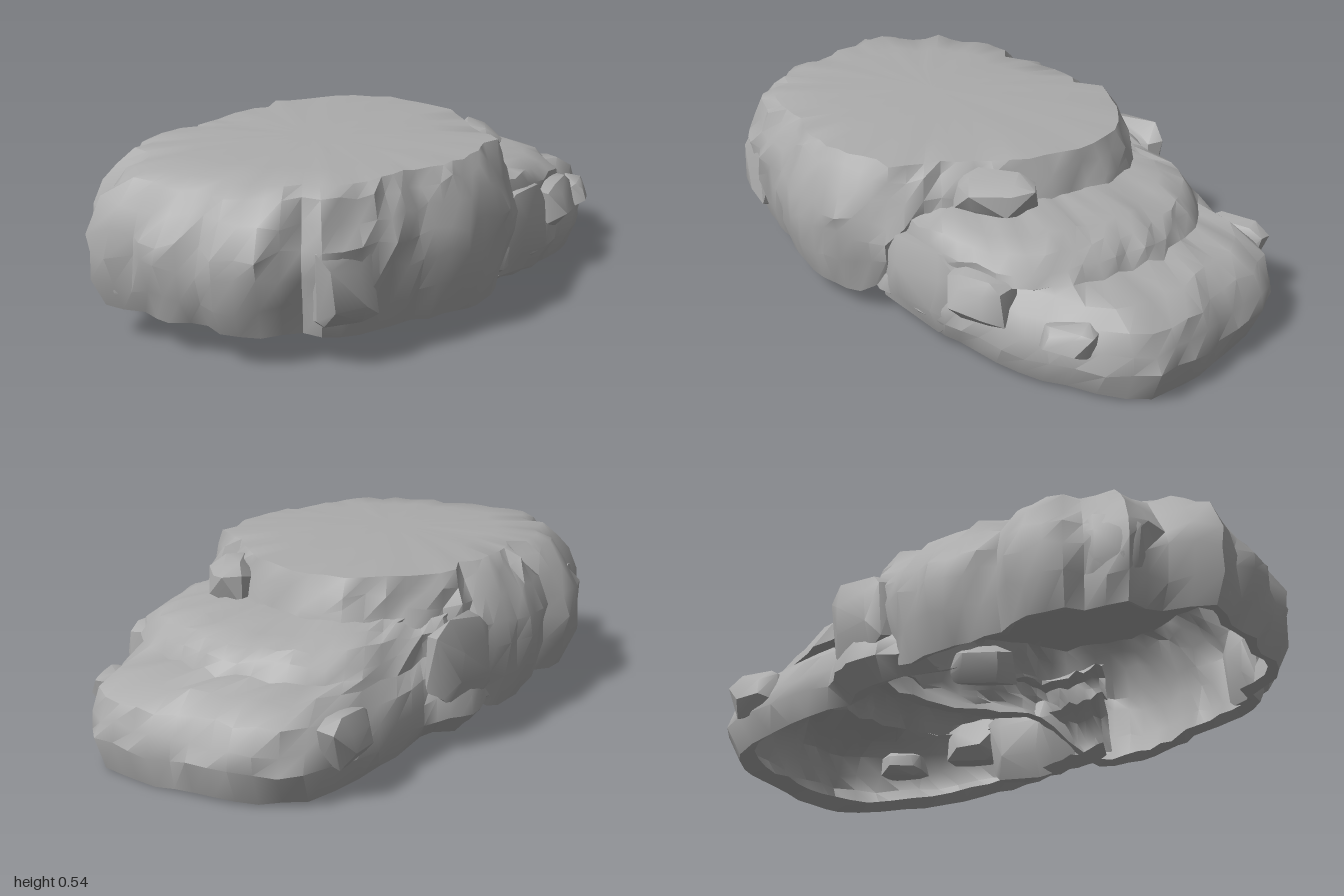
import * as THREE from 'three';
import { toCreasedNormals } from 'three/addons/utils/BufferGeometryUtils.js';
import { ConvexGeometry } from 'three/addons/geometries/ConvexGeometry.js';

const { lerp, smoothstep } = THREE.MathUtils;
const CX = -0.3; // plan centre the outlines are measured from

// Seeded random in -1..1
function seeded(seed) {
  let s = seed;
  return () => {
    s = (s * 16807) % 2147483647;
    return (s / 2147483647) * 2 - 1;
  };
}

// Turns plan points (x, z) into radius as a function of angle
function outline(points) {
  const polar = points
    .map(([x, z]) => ({ a: Math.atan2(z, x - CX), r: Math.hypot(x - CX, z) }))
    .sort((p, q) => p.a - q.a);
  const first = polar[0], last = polar[polar.length - 1];
  const all = [{ a: last.a - 2 * Math.PI, r: last.r }, ...polar, { a: first.a + 2 * Math.PI, r: first.r }];
  return (angle) => {
    const k = all.findIndex((p, i) => i > 0 && p.a >= angle);
    const p = all[k - 1], q = all[k];
    return lerp(p.r, q.r, (angle - p.a) / (q.a - p.a || 1));
  };
}

// Widest plan outline of each tier; the two steps only need their open arc
const upper = outline([
  [0, 0.57], [-0.12, 0.6], [-0.28, 0.61], [-0.45, 0.55], [-0.62, 0.52], [-0.78, 0.45], [-0.79, 0.36],
  [-0.9, 0.33], [-0.97, 0.19], [-0.95, 0.1], [-1.0, 0.0], [-0.98, -0.13], [-1.01, -0.27], [-0.84, -0.36],
  [-0.83, -0.47], [-0.7, -0.51], [-0.62, -0.58], [-0.46, -0.6], [-0.41, -0.56], [-0.27, -0.6], [-0.05, -0.6],
  [0.02, -0.57], [0.12, -0.51], [0.28, -0.41], [0.4, -0.27], [0.43, -0.12], [0.4, 0.03],
  [0.38, 0.12], [0.32, 0.2], [0.17, 0.38], [0.11, 0.51],
]);
const middle = outline([
  [-0.15, -0.54], [0.0, -0.58], [0.1, -0.61], [0.25, -0.58], [0.3, -0.5], [0.48, -0.45], [0.62, -0.34],
  [0.67, -0.18], [0.71, -0.04], [0.67, 0.16], [0.63, 0.3], [0.52, 0.42], [0.3, 0.47], [0.15, 0.5],
  [0.0, 0.52], [-0.15, 0.52],
]);
const lower = outline([
  [-0.15, -0.54], [0.0, -0.58], [0.1, -0.61], [0.24, -0.6], [0.3, -0.53], [0.55, -0.53], [0.75, -0.5],
  [0.9, -0.44], [0.97, -0.3], [0.99, -0.1], [1.0, 0.06], [0.99, 0.25], [0.8, 0.37], [0.68, 0.44],
  [0.5, 0.48], [0.32, 0.52], [0.15, 0.52], [0.0, 0.53], [-0.15, 0.53],
]);

// Lofts rings of (angle, ring) points between two angles
function loft(ringCount, segments, from, to, pointAt) {
  const pos = [], index = [];
  const closed = to - from > 6.28;
  const columns = closed ? segments : segments + 1;
  for (let j = 0; j < ringCount; j++) {
    for (let i = 0; i < columns; i++) {
      const a = lerp(from, to, i / segments);
      const [r, y] = pointAt(a, j);
      pos.push(CX + Math.cos(a) * r, y, Math.sin(a) * r);
    }
  }
  for (let j = 0; j < ringCount - 1; j++) {
    for (let i = 0; i < segments; i++) {
      const a = j * columns + i, b = j * columns + ((i + 1) % columns);
      index.push(a, a + columns, b, b, a + columns, b + columns);
    }
  }
  const geo = new THREE.BufferGeometry();
  geo.setAttribute('position', new THREE.Float32BufferAttribute(pos, 3));
  geo.setIndex(index);
  return toCreasedNormals(geo, 0.7);
}

// Upper rock: inset and height of each ring, then the flat top as shares of its edge
function upperRock() {
  const rand = seeded(77);
  const side = [[0.08, 0.085], [0.045, 0.07], [0.012, 0.18], [0, 0.28], [0.005, 0.35], [0.05, 0.43], [0.1, 0.49], [0.15, 0.53]];
  const top = [[0.72, 0.538], [0.36, 0.543], [0, 0.545]];
  return loft(side.length + top.length, 68, -Math.PI, Math.PI, (a, j) => {
    // The front and the stepped end are steeper than the back and far end
    const slope = Math.cos(a) > 0.6 ? 0.45 : Math.sin(a) > 0.5 ? 0.65 : 1;
    const edge = upper(a) - 0.15 * slope;
    if (j >= side.length) {
      const [share, y] = top[j - side.length];
      const r = edge * share;
      return [r, y + 0.012 * Math.cos(a) * r + rand() * 0.002 * share];
    }
    const [inset, y] = side[j];
    const rough = j < 2 || j > 6 ? 0.006 : 0.016;
    const r = upper(a) - inset * (j > 4 ? slope : 1) + rand() * rough;
    const x = CX + Math.cos(a) * r;
    if (j === 7) return [r, y + 0.012 * x + rand() * 0.003];
    // The foot dips toward the stepped end, then lifts where it rests on the steps
    const foot = j < 2 ? -0.01 - 0.045 * x : 0;
    const lift = 0.19 * smoothstep(Math.cos(a), 0.4, 0.8) * Math.max(0, (0.36 - y) / 0.29);
    return [r, y + foot + lift + rand() * rough];
  });
}

// Two lower steps: tier outline, inset and height, ending inside the upper rock
function stepRocks() {
  const rand = seeded(4021);
  const rings = [
    [lower, 0.11, 0.05], [lower, 0.05, 0.025], [lower, 0.0, 0.11], [lower, 0.025, 0.17], [lower, 0.07, 0.235],
    [lower, 0.15, 0.28], [middle, -0.02, 0.295], [middle, 0.01, 0.335], [middle, 0.05, 0.372],
    [middle, 0.13, 0.395], [upper, 0.03, 0.41],
  ];
  return loft(rings.length, 44, -1.2, 1.2, (a, j) => {
    const [shape, inset, y] = rings[j];
    const rough = j < 2 || j > 9 ? 0.006 : 0.014;
    const limit = lower(a) - 0.012 * j; // keeps the rings in order where tiers meet
    const tuck = j < 2 ? 0.06 * Math.abs(Math.sin(a)) : 0; // the foot draws in along the sides
    const r = Math.min(shape(a) - inset - tuck, limit) + rand() * rough;
    const x = CX + Math.cos(a) * r;
    return [r, j < 2 ? y + 0.025 - 0.045 * x + rand() * 0.006 : y + rand() * rough * 0.8];
  });
}

// Angular boulder: convex hull of a roughened block
function boulderGeometry(w, h, d, seed) {
  const rand = seeded(seed * 7919 + 13);
  const points = [];
  const p = () => 0.82 + rand() * 0.18;
  for (const x of [-1, 1]) for (const y of [-1, 1]) for (const z of [-1, 1]) {
    points.push(new THREE.Vector3(x * w * 0.5 * p(), y * h * 0.36 * p(), z * d * 0.22 * p()));
    points.push(new THREE.Vector3(x * w * 0.3 * p(), y * h * 0.5 * p(), z * d * 0.24 * p()));
    points.push(new THREE.Vector3(x * w * 0.26 * p(), y * h * 0.22 * p(), z * d * 0.5 * p()));
  }
  return toCreasedNormals(new ConvexGeometry(points), 0.6);
}

export function createModel() {
  const group = new THREE.Group();
  group.name = 'steppedRock';
  const material = new THREE.MeshStandardMaterial({ color: 0xacacac, side: THREE.DoubleSide });
  const add = (name, geometry) => {
    const mesh = new THREE.Mesh(geometry, material);
    mesh.name = name;
    group.add(mesh);
    return mesh;
  };
  add('upperRock', upperRock());
  add('stepRocks', stepRocks());

  // Blocks jutting from the sides: centre, size, turn
  const boulders = [
    [0.22, 0.19, 0.45, 0.36, 0.32, 0.18, 0.1],
    [0.28, 0.44, 0.24, 0.28, 0.16, 0.18, 0.6],
    [0.45, 0.24, 0.44, 0.24, 0.17, 0.17, 0.2],
    [0.73, 0.19, 0.35, 0.2, 0.11, 0.15, 0.35],
    [-0.7, 0.25, 0.44, 0.22, 0.3, 0.14, -0.5],
    [-0.94, 0.22, -0.19, 0.1, 0.2, 0.1, 0.2],
    [-0.74, 0.27, -0.45, 0.2, 0.24, 0.13, 0.4],
    [0.14, 0.28, -0.54, 0.3, 0.3, 0.14, -0.12],
    [0.67, 0.18, -0.48, 0.24, 0.16, 0.13, 0.1],
  ];
  boulders.forEach(([x, y, z, w, h, d, turn], i) => {
    const boulder = add(`boulder${i + 1}`, boulderGeometry(w, h, d, i + 1));
    boulder.position.set(x, y, z);
    boulder.rotation.y = turn;
  });

  // Stand on the ground, centred
  const box = new THREE.Box3().setFromObject(group);
  const centre = box.getCenter(new THREE.Vector3());
  group.children.forEach((m) => m.position.sub(new THREE.Vector3(centre.x, box.min.y, centre.z)));
  return group;
}
